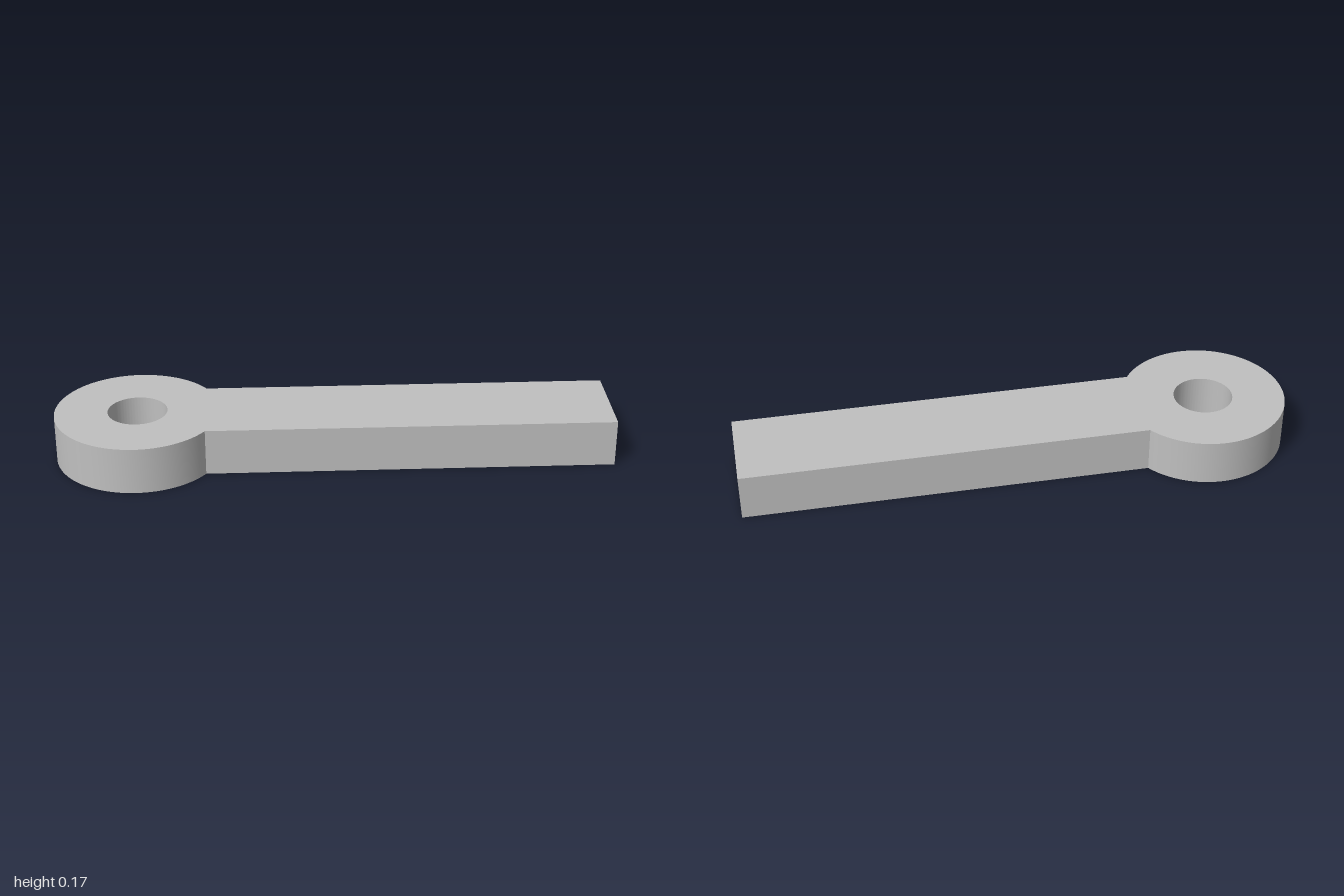
import * as THREE from 'three';
import { toCreasedNormals } from 'three/addons/utils/BufferGeometryUtils.js';

export function createModel() {
  const group = new THREE.Group();
  group.name = 'eyeBar';

  const steel = new THREE.MeshStandardMaterial({ color: 0xc0c0c0 });
  steel.name = 'light grey steel';

  const eyeX = -0.703, eyeRadius = 0.297, holeRadius = 0.107;
  const halfWidth = 0.17, thickness = 0.17, barEnd = 1;

  // Outline: round eye running into a straight bar
  const joinAngle = Math.asin(halfWidth / eyeRadius);
  const outline = new THREE.Shape();
  outline.moveTo(barEnd, -halfWidth);
  outline.lineTo(barEnd, halfWidth);
  outline.absarc(eyeX, 0, eyeRadius, joinAngle, 2 * Math.PI - joinAngle, false);
  outline.closePath();

  // Through hole in the eye
  const hole = new THREE.Path();
  hole.absarc(eyeX, 0, holeRadius, 0, 2 * Math.PI, true);
  outline.holes.push(hole);

  // Extrude upwards, smooth around the curves with sharp rims
  const solid = new THREE.ExtrudeGeometry(outline, {
    depth: thickness, bevelEnabled: false, curveSegments: 64,
  });
  solid.rotateX(-Math.PI / 2);

  const bar = new THREE.Mesh(toCreasedNormals(solid, 0.5), steel);
  bar.name = 'barWithEye';
  group.add(bar);
  return group;
}
